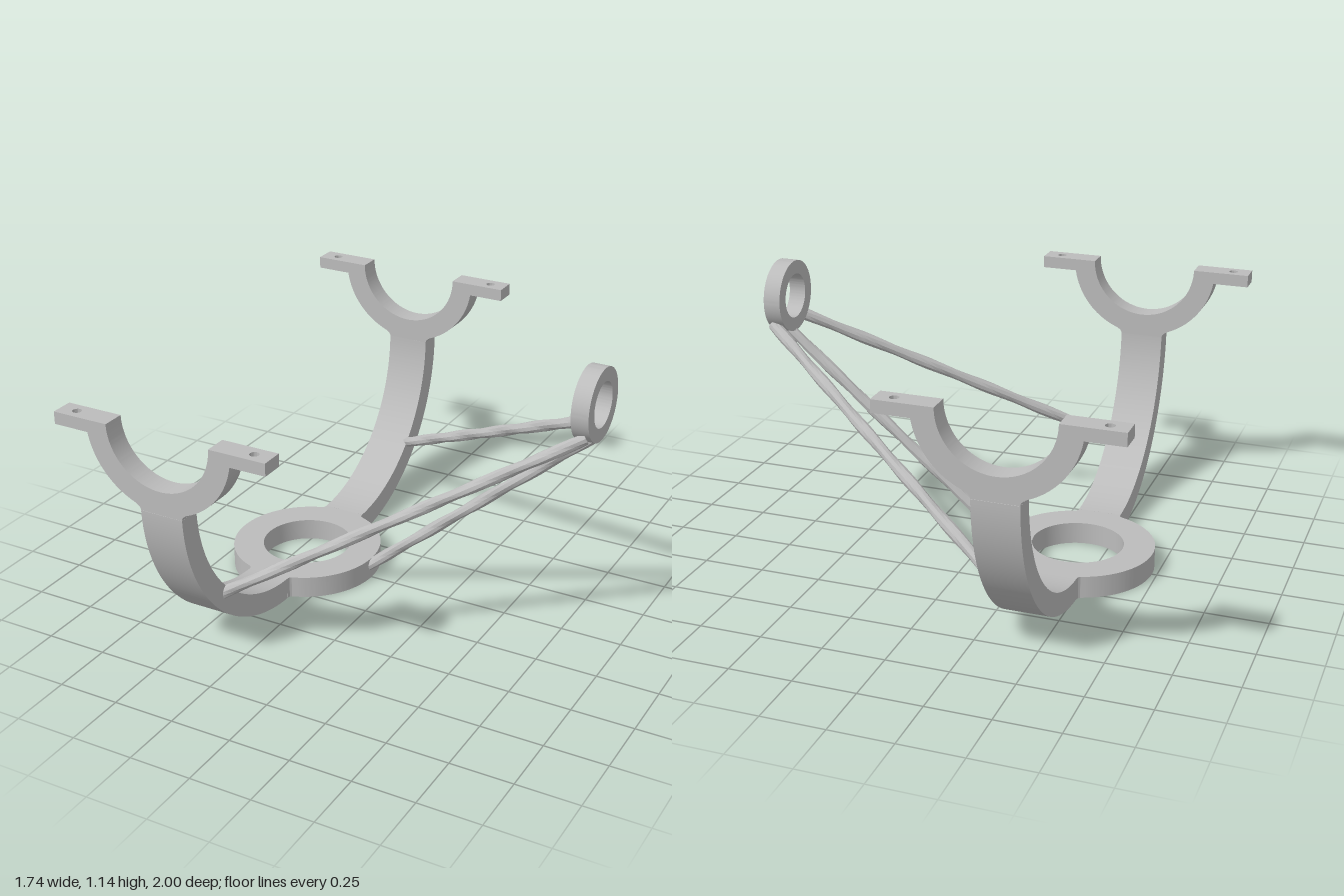
import * as THREE from 'three';
import { toCreasedNormals } from 'three/addons/utils/BufferGeometryUtils.js';

const CX = -0.42;          // x of the base and cradle axis
const R = 0.31;            // outer radius of base ring and cradles
const NECK = 0.09;         // half width of the arms
const NECK_END = 0.315;    // where ring necks hand over to the arms
const BASE_FILLET = Math.asin(0.102 / R);
const CRADLE_FILLET = Math.asin(0.125 / R);

export function createModel() {
  const model = new THREE.Group();
  model.name = 'ringMount';
  const metal = new THREE.MeshStandardMaterial({ color: 0xbcbcbc });
  metal.name = 'grey metal';

  const add = (name, geometry) => {
    const mesh = new THREE.Mesh(toCreasedNormals(geometry, 0.5), metal);
    mesh.name = name;
    model.add(mesh);
    return mesh;
  };
  const extrude = (shape, depth) =>
    new THREE.ExtrudeGeometry(shape, { depth, bevelEnabled: false, curveSegments: 48 });
  // Holes run counter-clockwise so that their walls face inwards
  const hole = (shape, x, y, r) =>
    shape.holes.push(new THREE.Path().absarc(x, y, r, 0, Math.PI * 2, false));

  // Filleted neck on a ring: s = -1 below (right to left), s = 1 above (left to right)
  const neck = (shape, s, fillet) => {
    const x = -s * NECK;
    shape.quadraticCurveTo(x, s * 0.297, x, s * NECK_END);
    shape.lineTo(-x, s * NECK_END);
    shape.quadraticCurveTo(-x, s * 0.297, s * R * Math.sin(fillet), s * R * Math.cos(fillet));
  };

  // Base ring with a neck at front and back
  const base = new THREE.Shape();
  base.absarc(0, 0, R, Math.PI / 2 - BASE_FILLET, -Math.PI / 2 + BASE_FILLET, true);
  neck(base, -1, BASE_FILLET);
  base.absarc(0, 0, R, -Math.PI / 2 - BASE_FILLET, -Math.PI * 1.5 + BASE_FILLET, true);
  neck(base, 1, BASE_FILLET);
  hole(base, 0, 0, 0.185);
  add('baseRing', extrude(base, 0.09).rotateX(-Math.PI / 2).translate(CX, 0, 0));

  // Curved arm in the z-y plane
  const phi = Math.asin((NECK_END - 0.3) / 0.655);
  const arm = new THREE.Shape();
  arm.absarc(0.3, 0.7, 0.7, -Math.PI / 2 + phi, -phi, false);
  arm.absarc(0.3, 0.7, 0.61, -phi, -Math.PI / 2 + phi, true);

  // Half-round cradle
  const cradle = new THREE.Shape();
  cradle.moveTo(0.22, 0);
  cradle.lineTo(R, 0);
  cradle.absarc(0, 0, R, 0, -Math.PI / 2 + CRADLE_FILLET, true);
  neck(cradle, -1, CRADLE_FILLET);
  cradle.absarc(0, 0, R, -Math.PI / 2 - CRADLE_FILLET, -Math.PI, true);
  cradle.lineTo(-0.22, 0);
  cradle.absarc(0, 0, 0.22, Math.PI, Math.PI * 2, false);

  // Drilled mounting tab, seen from above
  const tab = new THREE.Shape();
  tab.moveTo(0.3, -0.045);
  tab.lineTo(0.453, -0.045);
  tab.lineTo(0.453, 0.045);
  tab.lineTo(0.3, 0.045);
  hole(tab, 0.382, 0, 0.018);

  // Strut: a slightly lumpy, twisted rod between two points
  const strut = (name, from, to) => {
    const dir = to.clone().sub(from);
    const length = dir.length();
    const geo = new THREE.CylinderGeometry(0.023, 0.023, length, 10, 30);
    const p = geo.attributes.position;
    for (let i = 0; i < p.count; i++) {
      const a = Math.atan2(p.getZ(i), p.getX(i));
      const k = 1 + 0.1 * Math.sin(2 * a + 22 * p.getY(i));
      p.setX(i, p.getX(i) * k);
      p.setZ(i, p.getZ(i) * k);
    }
    const mesh = add(name, geo);
    mesh.position.copy(from).add(to).multiplyScalar(0.5);
    mesh.quaternion.setFromUnitVectors(new THREE.Vector3(0, 1, 0), dir.normalize());
  };

  for (const s of [1, -1]) {
    const side = s > 0 ? 'front' : 'back';
    add(side + 'Arm', extrude(arm, 2 * NECK).translate(0, 0, -NECK)
      .rotateY(-s * Math.PI / 2).translate(CX, 0, 0));
    add(side + 'Cradle', extrude(cradle, 0.09).translate(CX, 1, s * 0.955 - 0.045));
    for (const t of [0, Math.PI]) {
      add(side + (t ? 'RightTab' : 'LeftTab'), extrude(tab, 0.05).rotateX(-Math.PI / 2)
        .rotateY(t).translate(CX, 0.95, s * 0.955));
    }
    strut(side + 'Strut', new THREE.Vector3(-0.345, 0.252, s * 0.755),
      new THREE.Vector3(0.85, 0.9, s * 0.104));
  }
  strut('middleStrut', new THREE.Vector3(-0.125, 0.05, 0), new THREE.Vector3(0.85, 0.872, 0));

  // Small upright ring held by the struts
  const eye = new THREE.Shape().absarc(0, 0, 0.145, 0, Math.PI * 2, false);
  hole(eye, 0, 0, 0.09);
  add('supportRing', extrude(eye, 0.07).rotateY(Math.PI / 2).translate(0.8, 1, 0));

  return model;
}
